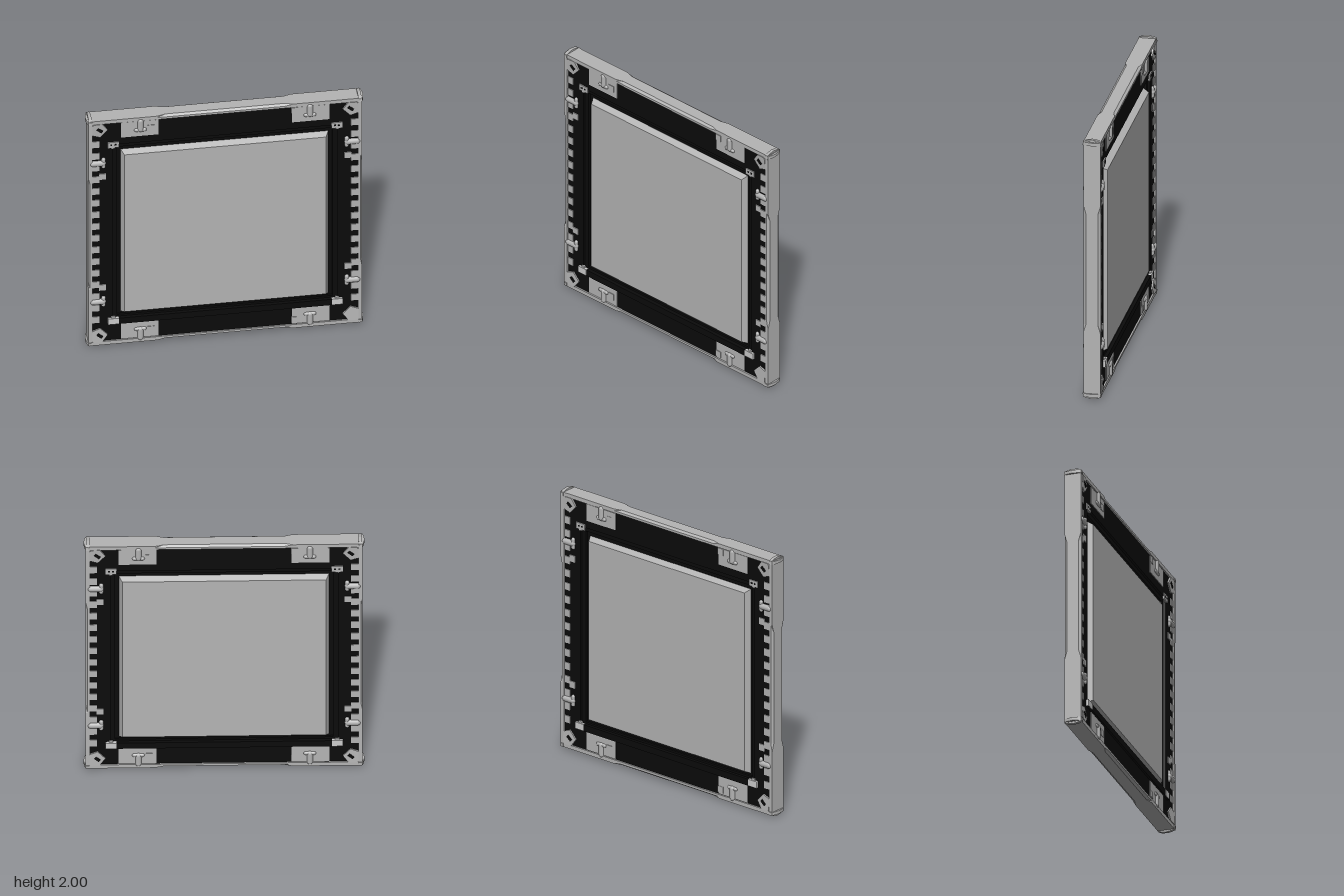
import * as THREE from 'three';

const mat = (name, color) => {
  const m = new THREE.MeshStandardMaterial({ color });
  m.name = name;
  return m;
};

export function createModel() {
  const grey = mat('metal grey', 0xb4b4b4);
  const black = mat('board black', 0x0b0b0b);
  const pale = mat('clip pale grey', 0xcccccc);
  const model = new THREE.Group();
  model.name = 'framedPanel';

  const add = (parent, name, geo, material, x = 0, y = 0, z = 0) => {
    const m = new THREE.Mesh(geo, material);
    m.name = name;
    m.position.set(x, y, z);
    parent.add(m);
    return m;
  };
  // Box given by its x, y and z ranges
  const block = (parent, name, material, x0, x1, y0, y1, z0, z1) =>
    add(parent, name, new THREE.BoxGeometry(x1 - x0, y1 - y0, z1 - z0), material,
      (x0 + x1) / 2, (y0 + y1) / 2, (z0 + z1) / 2);
  const rectPts = (x0, x1, y0, y1) => [[x0, y0], [x1, y0], [x1, y1], [x0, y1]].map(p => new THREE.Vector2(...p));
  const extrude = (pts, depth, hole) => {
    const s = new THREE.Shape(pts);
    if (hole) s.holes.push(new THREE.Path(hole));
    return new THREE.ExtrudeGeometry(s, { depth, bevelEnabled: false });
  };
  const flat = g => {
    const f = g.toNonIndexed();
    f.computeVertexNormals();
    return f;
  };

  // Rail: full-width ends, with the outer edge bevelled along the middle
  const stations = [-0.985, -0.49, -0.43, 0.43, 0.49, 0.985];
  const railGeo = new THREE.BoxGeometry(5, 2, 2, 5, 2, 1);
  const p = railGeo.attributes.position;
  for (let i = 0; i < p.count; i++) {
    const k = Math.round(p.getX(i) + 2.5), level = Math.round(p.getY(i) + 1);
    const narrow = level === 2 && (k === 2 || k === 3);
    p.setXYZ(i, stations[k], [0.955, 0.972, 0.985][level], p.getZ(i) * (narrow ? 0.044 : 0.062));
  }
  const rail = flat(railGeo);

  // Domed cap strip, profile across the thickness
  const cap = extrude([[-0.068, 0.957], [0.068, 0.957], [0.064, 0.985], [0.04, 0.994], [0, 1],
    [-0.04, 0.994], [-0.064, 0.985]].map(q => new THREE.Vector2(...q)), 0.024);
  cap.rotateY(Math.PI / 2);

  for (let r = 0; r < 4; r++) {
    const side = new THREE.Group();
    side.name = 'frameSide';
    side.position.y = 1;
    side.rotation.z = r * Math.PI / 2;
    add(side, 'rail', rail, grey);
    for (const x of [-0.982, 0.958]) add(side, 'cornerCap', cap, grey, x);
    model.add(side);
  }

  block(model, 'boardCore', black, -0.957, 0.957, 0.043, 1.957, -0.015, 0.015);

  // Centre panel with sloping edges
  const panelGeo = () => {
    const g = new THREE.BoxGeometry(1.5, 1.43, 0.05);
    const a = g.attributes.position;
    for (let i = 0; i < a.count; i++) if (a.getZ(i) > 0) {
      a.setX(i, a.getX(i) - Math.sign(a.getX(i)) * 0.025);
      a.setY(i, a.getY(i) - Math.sign(a.getY(i)) * 0.025);
    }
    return flat(g);
  };

  // Corner bracket, growing thicker towards the corner
  const bracketGeo = (sx, sy) => {
    const pts = [[0.957, 0.862], [0.957, 0.945], [0.945, 0.957], [0.885, 0.957], [0.845, 0.9], [0.9, 0.84]]
      .map(([u, v]) => new THREE.Vector2(u * sx, v * sy));
    const g = extrude(pts, 0.03);
    const a = g.attributes.position;
    for (let i = 0; i < a.count; i++) if (a.getZ(i) > 0.01) {
      const reach = Math.abs(a.getX(i)) + Math.abs(a.getY(i)) - 1.74;
      a.setZ(i, 0.025 + reach * 0.05);
    }
    g.computeVertexNormals();
    return g;
  };

  // Latch: rounded arm reaching to the rail with a cross grip (arm along +y)
  const latch = (parent, x, y, angle) => {
    const g = new THREE.Group();
    g.name = 'latch';
    g.position.set(x, y, 0.052);
    g.rotation.z = angle;
    const arm = add(g, 'latchArm', new THREE.CapsuleGeometry(0.023, 0.07, 4, 10), grey, 0, 0.04, 0);
    arm.scale.z = 0.95;
    const grip = add(g, 'latchGrip', new THREE.CapsuleGeometry(0.016, 0.06, 4, 8), grey);
    grip.rotation.z = Math.PI / 2;
    parent.add(g);
  };

  const buildFace = (plainCorner) => {
    const f = new THREE.Group();
    f.name = 'face';
    // Stepped black surround
    add(f, 'boardSurround', extrude(rectPts(-0.957, 0.957, 0.043, 1.957), 0.04,
      rectPts(-0.81, 0.81, 0.235, 1.76)), black, 0, 0, 0.01);
    add(f, 'boardStep', extrude(rectPts(-0.82, 0.82, 0.225, 1.77), 0.022,
      rectPts(-0.775, 0.775, 0.25, 1.725)), black, 0, 0, 0.01);
    block(f, 'lowerBar', black, -0.84, 0.84, 0.19, 0.24, 0.04, 0.066);
    add(f, 'centrePanel', panelGeo(), grey, 0, 0.978, 0.035);

    for (const s of [-1, 1]) {
      // Contact pads down the side
      for (let i = 0; i < 16; i++)
        add(f, 'contactPad', new THREE.BoxGeometry(0.052, 0.055, 0.008), grey, s * 0.93, 0.235 + i * 0.1027, 0.052);
      for (const y of [0.515, 1.49])
        add(f, 'innerPad', new THREE.BoxGeometry(0.05, 0.05, 0.008), grey, s * 0.882, y, 0.053);
      // Small connectors
      block(f, 'upperConnector', grey, s * 0.805 - 0.04, s * 0.805 + 0.04, 1.737, 1.785, 0.045, 0.058);
      for (const d of [-0.015, 0.015])
        add(f, 'connectorHole', new THREE.BoxGeometry(0.014, 0.012, 0.002), black, s * 0.805 + d, 1.762, 0.0585);
      block(f, 'connectorTab', grey, s * 0.805 - 0.012, s * 0.805 + 0.012, 1.728, 1.737, 0.045, 0.056);
      block(f, 'lowerClip', pale, s * 0.805 - 0.039, s * 0.805 + 0.039, 0.192, 0.242, 0.045, 0.069);
      block(f, 'lowerClipTab', pale, s * 0.805 - 0.015, s * 0.805 + 0.015, 0.242, 0.254, 0.045, 0.06);

      for (const t of [-1, 1]) {
        // Latch plates, latches and small covers at top and bottom
        const y0 = t > 0 ? 1.82 : 0.05, y1 = t > 0 ? 1.95 : 0.185;
        block(f, 'latchPlate', grey, s * 0.615 - 0.135, s * 0.615 + 0.135, y0, y1, 0.045, 0.056);
        const cx = s < 0 ? -0.535 : 0.5, cy = t > 0 ? (s < 0 ? 1.885 : 1.925) : (s < 0 ? 0.115 : 0.085);
        add(f, 'plateCover', new THREE.BoxGeometry(0.05, 0.05, 0.006), grey, cx, cy, 0.057);
        latch(f, s * 0.61, 1 + t * 0.875, t > 0 ? 0 : Math.PI);
        latch(f, s * 0.875, 1 + t * 0.608, -s * Math.PI / 2);
        // Corner brackets with a diagonal slot
        add(f, 'cornerBracket', bracketGeo(s, t), grey, 0, 1, 0.035);
        if (!(plainCorner && s > 0 && t < 0)) {
          const slot = add(f, 'bracketSlot', new THREE.BoxGeometry(0.045, 0.022, 0.006), black,
            s * 0.903, 1 + t * 0.903, 0.0645);
          slot.rotation.z = -0.7;
        }
      }
    }
    return f;
  };

  const front = buildFace(true);
  const back = buildFace(false);
  front.name = 'frontFace';
  back.name = 'backFace';
  back.rotation.y = Math.PI;
  model.add(front, back);
  return model;
}
